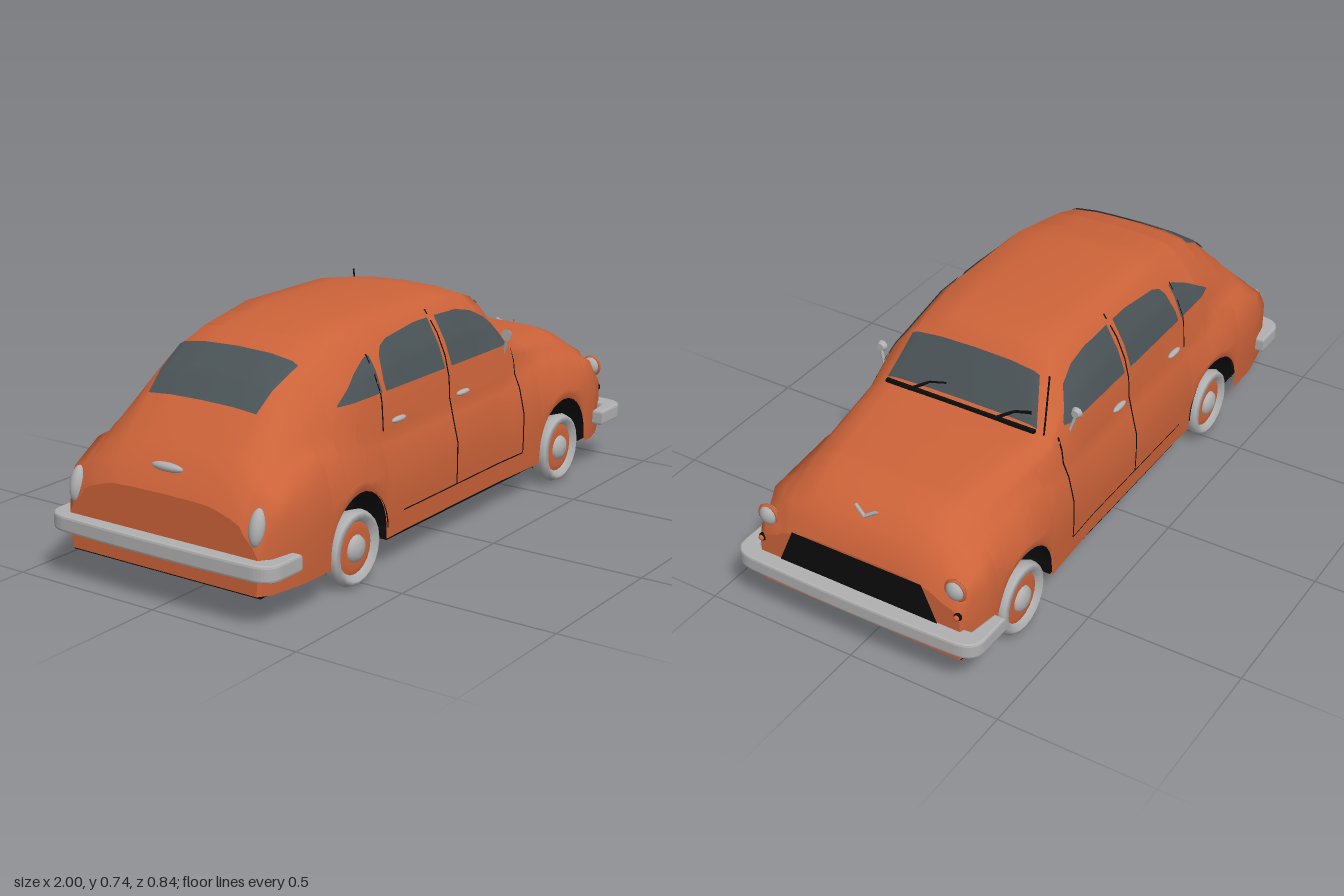
import * as THREE from 'three';

const mat = (name, color, side = THREE.DoubleSide) => {
  const m = new THREE.MeshStandardMaterial({ color, side });
  m.name = name;
  return m;
};
const lerp = THREE.MathUtils.lerp;

// Piecewise straight line through [x, value] points
const line = (...pts) => x => {
  let i = 0;
  while (i < pts.length - 2 && x > pts[i + 1][0]) i++;
  const [a, b] = [pts[i], pts[i + 1]];
  return lerp(a[1], b[1], (x - a[0]) / (b[0] - a[0]));
};

// Lines that shape the body along its length
const TOP = [[-.955, .33], [-.92, .39], [-.87, .445], [-.8, .515], [-.7, .61], [-.6, .67], [-.5, .70], [-.28, .737],
  [.1, .737], [.25, .712], [.31, .69], [.41, .525], [.6, .507], [.75, .492], [.85, .458], [.9, .415], [.93, .365], [.945, .325]];
const topY = line(...TOP);
const sideZ = line([-.955, .34], [-.92, .365], [-.8, .387], [-.6, .388], [-.35, .367], [.25, .366], [.6, .38], [.85, .376], [.945, .345]);
const shoulderY = line([-.955, .24], [-.92, .34], [-.8, .39], [-.6, .4], [-.28, .38], [.6, .39], [.85, .37], [.93, .31], [.945, .27]);
const beltZ = line([-.955, .28], [-.7, .31], [-.5, .33], [.31, .33], [.9, .285], [.945, .26]);
const beltY = line([-.955, .29], [-.92, .365], [-.8, .44], [-.5, .52], [.31, .53], [.41, .48], [.75, .435], [.9, .385], [.945, .3]);
const roofZ = line([-.955, .2], [-.92, .22], [-.28, .26], [.1, .26], [.31, .245], [.41, .28], [.945, .2]);
const AXLES = [-0.53, 0.645], ARCH = 0.15, HUB_Y = 0.115;

function lowerEdge(x) {
  for (const c of AXLES) {
    const d = Math.abs(x - c);
    if (d <= ARCH + 1e-6) return 0.135 + Math.sqrt(Math.max(0, ARCH * ARCH - d * d));
  }
  return 0.1;
}

// Half cross-section as [z, y] points, sill to roof centre
function section(x) {
  const w = sideZ(x), ws = w * .945, ys = shoulderY(x), wm = beltZ(x), ym = beltY(x), wr = roofZ(x), yt = topY(x);
  const d = (yt - ym) * .27, y0 = lowerEdge(x), low = Math.min(.2, ys - .06), high = Math.min(.3, ys - .03);
  return [
    [w * .985, y0], [w, Math.max(low, y0 + .015)], [w, Math.max(high, y0 + .03)], [ws, ys],
    [lerp(wm, ws, .35), Math.min(ys + .03, (ys + ym) / 2)], [wm, ym],
    [(wm + wr) / 2 + .008, (ym + yt - d) / 2], [wr, yt - d],
    [wr * .85, yt - .35 * d], [wr * .5, yt - .08 * d], [0, yt],
  ];
}
function zAt(x, y) {
  const p = section(x);
  for (let j = 0; j < p.length - 1; j++)
    if (y <= p[j + 1][1]) return lerp(p[j][0], p[j + 1][0], Math.max(0, (y - p[j][1]) / (p[j + 1][1] - p[j][1])));
  return 0;
}
function yAt(x, z) {
  const p = section(x);
  for (let j = p.length - 2; j > 1; j--)
    if (Math.abs(z) <= p[j][0]) return lerp(p[j + 1][1], p[j][1], (Math.abs(z) - p[j + 1][0]) / (p[j][0] - p[j + 1][0]));
  return p[2][1];
}

// Surface from a rule giving a point for each grid cell corner
function grid(nu, nv, fn) {
  const pos = [], idx = [];
  for (let i = 0; i <= nu; i++) for (let j = 0; j <= nv; j++) pos.push(...fn(i, j));
  for (let i = 0; i < nu; i++) for (let j = 0; j < nv; j++) {
    const a = i * (nv + 1) + j, b = a + nv + 1;
    idx.push(a, b, b + 1, a, b + 1, a + 1);
  }
  const g = new THREE.BufferGeometry();
  g.setAttribute('position', new THREE.Float32BufferAttribute(pos, 3));
  g.setIndex(idx);
  g.computeVertexNormals();
  return g;
}
// Thin panel lying on the body side between a lower and an upper line
const sidePanel = (x0, x1, bottom, top, n = 16) => grid(n, 8, (i, j) => {
  const x = lerp(x0, x1, i / n), y = lerp(bottom(x), top(x), j / 8);
  return [x, y, zAt(x, y) + .005];
});
// Thin panel lying on the body top, its half width going from h0 to h1
const topPanel = (x0, x1, h0, h1) => grid(10, 24, (i, j) => {
  const x = lerp(x0, x1, i / 10), z = lerp(1, -1, j / 24) * lerp(h0, h1, i / 10);
  return [x + (x > 0 ? .004 : -.003), yAt(x, z) + .004, z];
});

export function createModel() {
  const paint = mat('orange paint', 0xcc6339), glass = mat('dark glass', 0x4a5357);
  const black = mat('black trim', 0x0c0c0c), chrome = mat('light grey metal', 0xb0b0b0);
  const car = new THREE.Group(), side = new THREE.Group();
  car.name = 'car';
  side.name = 'leftSideParts';
  const add = (parent, name, geo, m, p = [0, 0, 0], r = [0, 0, 0], s = [1, 1, 1]) => {
    const mesh = new THREE.Mesh(geo, m);
    mesh.name = name;
    mesh.position.set(...p); mesh.rotation.set(...r); mesh.scale.set(...s);
    parent.add(mesh);
  };
  const box = (x, y, z) => new THREE.BoxGeometry(x, y, z);
  const ball = r => new THREE.SphereGeometry(r, 14, 10);
  const rod = (parent, name, a, b, r, m) => add(parent, name,
    new THREE.TubeGeometry(new THREE.LineCurve3(new THREE.Vector3(...a), new THREE.Vector3(...b)), 1, r, 6), m);

  // Body shell with wheel openings
  const xs = TOP.map(k => k[0]);
  for (const c of AXLES) {
    for (let k = 0; k <= 14; k++) xs.push(c - ARCH * Math.cos(Math.PI * k / 14));
    xs.push(c - ARCH - .001, c + ARCH + .001);
  }
  xs.sort((a, b) => a - b);
  const ring = x => {
    const h = section(x);
    return [...h, ...h.slice(0, -1).reverse().map(([z, y]) => [-z, y])];
  };
  const rings = xs.map(ring);
  add(car, 'body', grid(xs.length - 1, rings[0].length - 1, (i, j) => [xs[i], rings[i][j][1], rings[i][j][0]]), paint);
  for (const [name, x, dir] of [['rearPanel', xs[0], -1], ['frontPanel', xs[xs.length - 1], 1]]) {
    const s = new THREE.Shape(ring(x).map(([z, y]) => new THREE.Vector2(-z * dir, y)));
    add(car, name, new THREE.ShapeGeometry(s), paint, [x, 0, 0], [0, dir * Math.PI / 2, 0]);
  }

  // Underside and wheel wells
  add(car, 'underbody', box(1.86, .2, .5), black, [0, .192, 0]);
  for (const [a, b, w] of [[-.945, -.69, .68], [-.37, .485, .715], [.805, .935, .68]])
    add(car, 'floor', box(b - a, .03, w), black, [(a + b) / 2, .107, 0]);
  for (const c of AXLES)
    add(side, 'wheelWell', new THREE.CylinderGeometry(.152, .152, .13, 18, 1, true, Math.PI / 2, Math.PI), black,
      [c, .135, .305], [Math.PI / 2, 0, 0]);

  // Wheels
  const lathe = pts => new THREE.LatheGeometry(pts.map(p => new THREE.Vector2(...p)), 20).rotateX(Math.PI / 2);
  for (const c of AXLES) {
    const wheel = new THREE.Group();
    wheel.name = c > 0 ? 'frontWheel' : 'rearWheel';
    wheel.position.set(c, HUB_Y, 0);
    add(wheel, 'tyre', lathe([[.085, .29], [.105, .32], [.115, .35], [.108, .368], [.095, .374], [.078, .355]]), chrome);
    add(wheel, 'wheelDisc', lathe([[.079, .356], [.06, .362], [.03, .358], [.001, .358]]), paint);
    add(wheel, 'hubcap', lathe([[.042, .358], [.036, .37], [.02, .377], [.001, .379]]), chrome);
    add(wheel, 'wheelBack', lathe([[.001, .285], [.086, .285], [.09, .3]]), black);
    side.add(wheel);
  }

  // Windows
  const sill = () => .532;
  add(side, 'quarterWindow', sidePanel(-.555, -.355, sill, line([-.555, .536], [-.45, .60], [-.375, .635], [-.355, .635])), glass);
  add(side, 'rearDoorWindow', sidePanel(-.335, -.025, sill, line([-.335, .56], [-.31, .645], [-.26, .665], [-.1, .68], [-.025, .68])), glass);
  add(side, 'frontDoorWindow', sidePanel(.012, .345, sill, line([.012, .68], [.13, .676], [.22, .655], [.29, .62], [.345, .54])), glass);
  add(car, 'windscreen', topPanel(.318, .4, .222, .262), glass);
  add(car, 'rearWindow', topPanel(-.765, -.6, .195, .215), glass);
  add(car, 'windscreenSeal', box(.012, .01, .52), black, [.412, .527, 0]);

  // Door seams and handles
  for (const [x, a, b] of [[-.365, .42, .64], [-.008, .17, .7], [.38, .17, .51]])
    add(side, 'doorSeam', sidePanel(x - .003, x + .003, () => a, () => b, 1), black);
  add(side, 'sillSeam', sidePanel(-.3, .38, () => .166, () => .17), black);
  for (const x of [-.29, .06])
    add(side, 'doorHandle', ball(.01), chrome, [x, .44, zAt(x, .44) + .01], [0, 0, 0], [3.6, .9, 1]);

  // Mirrors and lamps
  rod(side, 'mirrorStalk', [.33, .5, .325], [.32, .56, .343], .005, chrome);
  add(side, 'mirror', new THREE.CylinderGeometry(.018, .012, .014, 14), chrome, [.32, .567, .343], [0, 0, Math.PI / 2]);
  add(side, 'headlight', ball(.032), chrome, [.925, .33, .322], [0, 0, 0], [.7, 1, .95]);
  add(side, 'headlightRim', new THREE.TorusGeometry(.031, .006, 6, 18), paint, [.926, .33, .322], [0, Math.PI / 2, 0]);
  add(side, 'indicator', ball(.013), black, [.942, .255, .338], [0, 0, 0], [.7, 1, 1]);
  add(side, 'indicatorLens', ball(.009), paint, [.948, .255, .338]);
  add(side, 'tailLight', ball(.03), chrome, [-.935, .29, .325], [0, 0, -.25], [.8, 1.8, .8]);

  // Windscreen wipers and aerial
  for (const z of [.17, -.125]) {
    rod(car, 'wiperArm', [.418, .53, z], [.392, .558, z - .055], .005, black);
    rod(car, 'wiperBlade', [.392, .558, z - .055], [.385, .569, z - .11], .005, black);
  }
  rod(car, 'aerial', [.405, .50, -.285], [.36, .695, -.278], .003, black);

  // Grille, bonnet ornament and boot handle
  const grille = new THREE.Shape([[-.275, .2], [.275, .2], [.222, .322], [-.222, .322]].map(p => new THREE.Vector2(...p)));
  add(car, 'grille', new THREE.ShapeGeometry(grille), black, [.949, 0, 0], [0, Math.PI / 2, 0]);
  for (const s of [1, -1])
    rod(car, 'bonnetOrnament', [.895, .435, 0], [.885, .457, s * .036], .006, chrome);
  add(car, 'bootHandle', ball(.015), chrome, [-.918, .395, 0], [0, 0, 0], [.9, .9, 3.8]);

  // Wrap-round bumpers
  const bumper = (name, dir, back, half) => {
    const s = new THREE.Shape(), X = v => dir * v;
    s.moveTo(X(back), half);
    s.lineTo(X(.93), half);
    s.quadraticCurveTo(X(.98), half, X(.985), half - .06);
    s.quadraticCurveTo(X(1.0), 0, X(.985), -half + .06);
    s.quadraticCurveTo(X(.98), -half, X(.93), -half);
    s.lineTo(X(back), -half);
    s.lineTo(X(back), -half + .025);
    s.lineTo(X(.93), -half + .04);
    s.quadraticCurveTo(X(.97), 0, X(.93), half - .04);
    s.lineTo(X(back), half - .025);
    const g = new THREE.ExtrudeGeometry(s, { depth: .034, bevelSize: .006, bevelThickness: .008, bevelSegments: 2, curveSegments: 10 });
    add(car, name, g.rotateX(Math.PI / 2), chrome, [0, .197, 0]);
  };
  bumper('frontBumper', 1, .835, .415);
  bumper('rearBumper', -1, .85, .4);

  // Mirror the side parts
  const other = side.clone();
  other.name = 'rightSideParts';
  other.scale.z = -1;
  car.add(side, other);
  return car;
}
